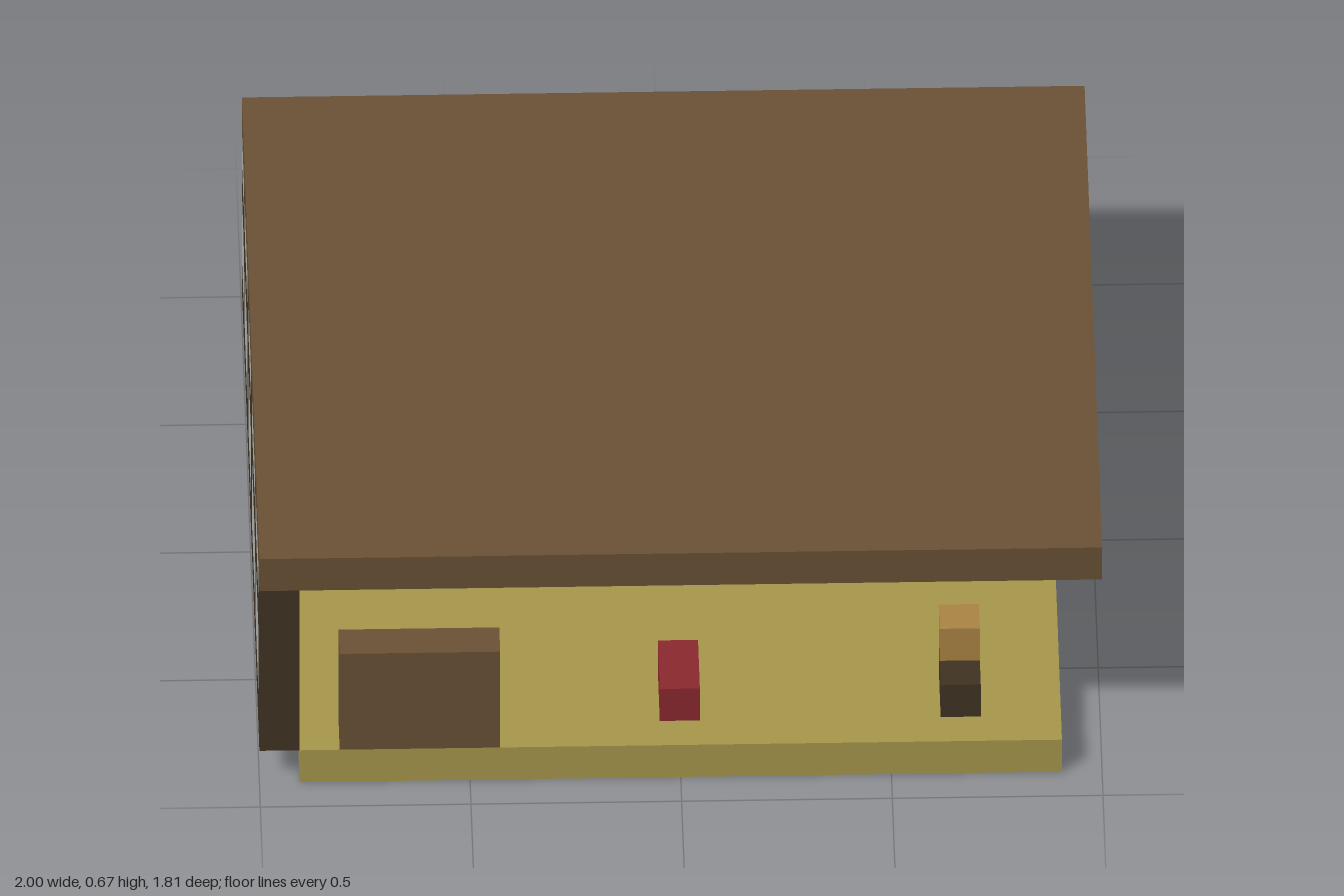
import * as THREE from 'three';

const U = 2 / 21; // one building block

export function createModel() {
  const mat = (name, color) => {
    const m = new THREE.MeshStandardMaterial({ color });
    m.name = name;
    return m;
  };
  const planks = mat('brown planks', 0x6b5235);
  const timber = mat('dark timber', 0x403322);
  const glass = mat('pale glass', 0xb8bbba);
  const straw = mat('straw floor', 0xa8994c);
  const amber = mat('amber', 0xae8645);
  const red = mat('red', 0x8c292f);

  const model = new THREE.Group();
  model.name = 'house';

  // box given by its limits in blocks
  function block(parent, name, material, [x0, x1], [y0, y1], [z0, z1]) {
    const mesh = new THREE.Mesh(new THREE.BoxGeometry((x1 - x0) * U, (y1 - y0) * U, (z1 - z0) * U), material);
    mesh.position.set((x0 + x1) / 2 * U, (y0 + y1) / 2 * U, (z0 + z1) / 2 * U);
    mesh.name = name;
    parent.add(mesh);
  }

  // glass pane whose corners next to a post are notched and filled with timber
  const N = 0.13;
  function pane(wall, [a, b], [y0, y1], notchA, notchB, notchTop) {
    const corners = [[a, y0, 1, 1, notchA], [b, y0, -1, 1, notchB],
      [b, y1, -1, -1, notchB && notchTop], [a, y1, 1, -1, notchA && notchTop]];
    const points = [];
    corners.forEach(([x, y, dx, dy, notched], i) => {
      if (!notched) { points.push([x, y]); return; }
      const steps = [[x, y + dy * N], [x + dx * N, y + dy * N], [x + dx * N, y]];
      points.push(...(i % 2 ? steps.reverse() : steps));
      block(wall, 'windowCorner', timber, [Math.min(x, x + dx * N), Math.max(x, x + dx * N)],
        [Math.min(y, y + dy * N), Math.max(y, y + dy * N)], [0, 1]);
    });
    const shape = new THREE.Shape(points.map(([x, y]) => new THREE.Vector2(x * U, y * U)));
    const mesh = new THREE.Mesh(new THREE.ExtrudeGeometry(shape, { depth: U, bevelEnabled: false }), glass);
    mesh.name = 'windowPane';
    wall.add(mesh);
  }

  // one row of windows and posts; posts stand every four blocks
  function windowRow(wall, [from, to], rows, notchTop) {
    for (let p = -11.5; p < 10; p += 4) {
      if (p >= from && p + 1 <= to) block(wall, 'post', timber, [p, p + 1], rows, [0, 1]);
      const a = Math.max(from, p + 1), b = Math.min(to, p + 4);
      if (a < b) pane(wall, [a, b], rows, a === p + 1 && a > from, b === p + 4 && b < to, notchTop);
    }
  }

  function makeWall(name, [from, to], lowerSpans, upperSpan) {
    const wall = new THREE.Group();
    wall.name = name;
    for (const span of lowerSpans) {
      block(wall, 'sill', timber, span, [1, 2], [0, 1]);
      windowRow(wall, span, [2, 4], true);
    }
    block(wall, 'beam', timber, [from, to], [4, 5], [0, 1]);
    windowRow(wall, upperSpan, [5, 6], false);
    model.add(wall);
    return wall;
  }

  // back wall with a doorway, side wall along -x
  const backWall = makeWall('backWall', [-10.5, 10.5], [[-10.5, -1.5], [1.5, 10.5]], [-10.5, 9.5]);
  backWall.position.z = -9.5 * U;
  const sideWall = makeWall('sideWall', [-8.5, 9.5], [[-8.5, 9.5]], [-8.5, 9.5]);
  sideWall.rotation.y = -Math.PI / 2;
  sideWall.position.x = -9.5 * U;

  // floor and roof slabs
  block(model, 'floor', straw, [-9.5, 9.5], [0, 1], [-8.5, 9.5]);
  block(model, 'roof', planks, [-10.5, 10.5], [6, 7], [-9.5, 9.5]);

  // furniture
  block(model, 'frontPanel', planks, [-8.5, -4.5], [1, 4], [8.5, 9.5]);
  block(model, 'redSeat', red, [-0.5, 0.5], [1, 2], [6.5, 8.5]);
  block(model, 'stand', timber, [6.5, 7.5], [1, 2], [6.5, 8.5]);
  block(model, 'standLamp', amber, [6.5, 7.5], [2, 3], [6.5, 7.5]);

  // ceiling lamps in a grid
  for (const x of [-6, 0, 6]) {
    for (const z of [-5, 1, 7]) {
      block(model, 'ceilingLamp', amber, [x - 0.5, x + 0.5], [5, 6], [z - 0.5, z + 0.5]);
    }
  }
  return model;
}
